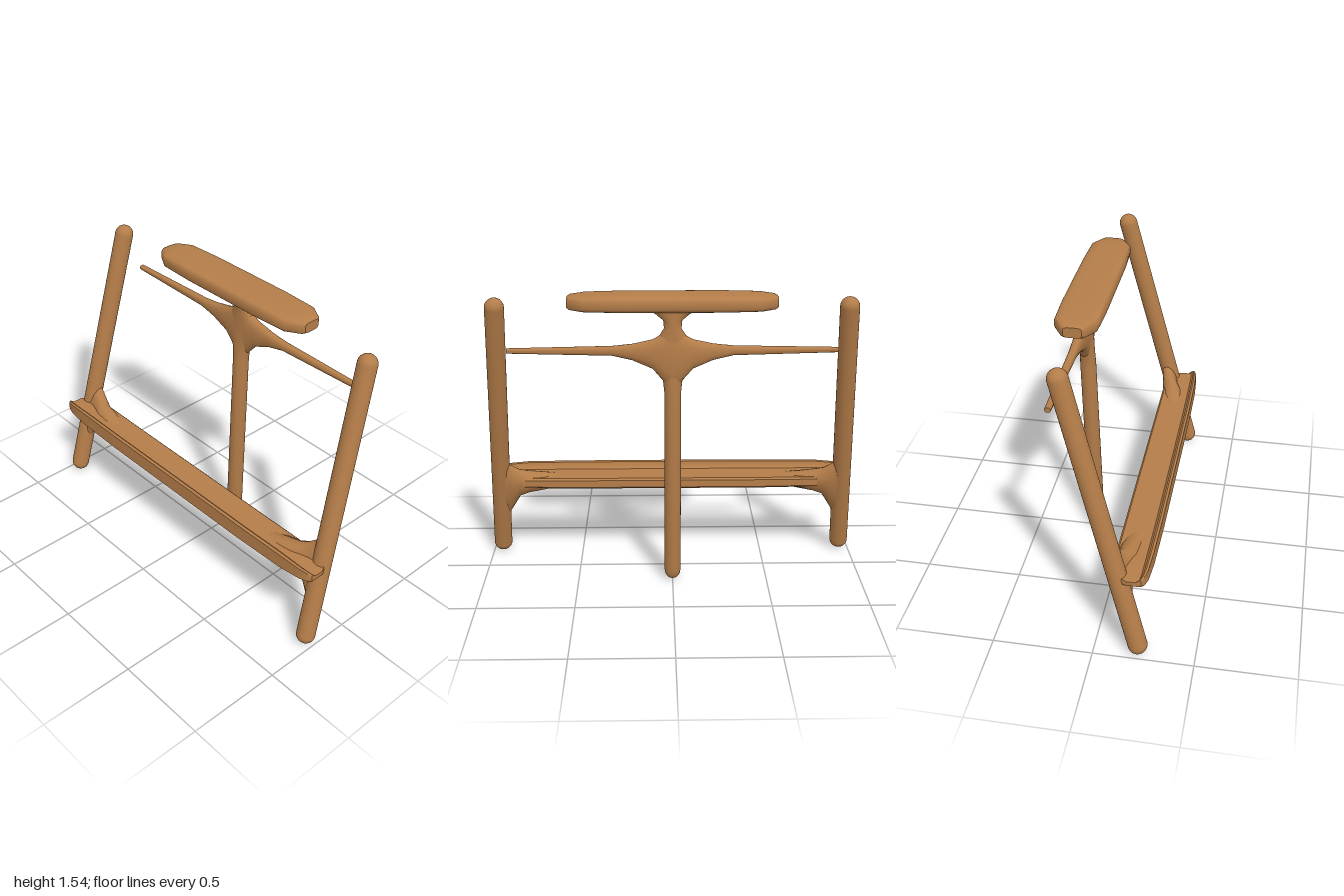
import * as THREE from 'three';
import { toCreasedNormals } from 'three/addons/utils/BufferGeometryUtils.js';

const wood = new THREE.MeshStandardMaterial({ color: 0xb47d49 });
wood.name = 'warm wood';

// Skin a list of rings (equal point counts) and close both ends
function loft(rings, crease = 0.8) {
  const n = rings[0].length, pos = [], idx = [];
  rings.forEach(r => r.forEach(p => pos.push(...p)));
  for (let i = 0; i < rings.length - 1; i++) {
    for (let j = 0; j < n; j++) {
      const k = (j + 1) % n, a = i * n + j, b = i * n + k;
      idx.push(a, b, a + n, b, b + n, a + n);
    }
  }
  const last = (rings.length - 1) * n;
  [0, last].forEach((start, end) => {
    const c = pos.length / 3, ring = rings[end ? rings.length - 1 : 0];
    pos.push(...[0, 1, 2].map(d => ring.reduce((s, p) => s + p[d], 0) / n));
    for (let j = 0; j < n; j++) {
      const a = start + j, b = start + (j + 1) % n;
      end ? idx.push(c, a, b) : idx.push(c, b, a);
    }
  });
  const g = new THREE.BufferGeometry();
  g.setAttribute('position', new THREE.Float32BufferAttribute(pos, 3));
  g.setIndex(idx);
  return toCreasedNormals(g, crease);
}

// Unit oval; power below 1 makes it boxier
function oval(n, power = 1) {
  const f = v => Math.sign(v) * Math.abs(v) ** power;
  return Array.from({ length: n }, (_, i) => {
    const a = (i / n) * Math.PI * 2;
    return [f(Math.cos(a)), f(Math.sin(a))];
  });
}

// Mirror half-sections (centre outwards, x first) to both sides
const mirrored = half => [
  ...half.filter(s => s[0] > 0).reverse().map(([x, ...r]) => [-x, ...r]), ...half];

export function createModel() {
  const group = new THREE.Group();
  const add = (name, geometry) => {
    const m = new THREE.Mesh(geometry, wood);
    m.name = name;
    group.add(m);
    return m;
  };

  for (const s of [1, -1]) {
    const side = s > 0 ? 'left' : 'right';

    // Leaning front leg
    const a = new THREE.Vector3(s * 0.95, 0.052, 0.216);
    const b = new THREE.Vector3(s * 0.88, 1.473, -0.15);
    const dir = b.clone().sub(a);
    const leg = add(side + 'FrontLeg', new THREE.CapsuleGeometry(0.049, dir.length(), 8, 24));
    leg.position.copy(a).add(b).multiplyScalar(0.5);
    leg.quaternion.setFromUnitVectors(new THREE.Vector3(0, 1, 0), dir.normalize());

    // Flared joint between leg and tray: x, bottom, top, z, half depth, lean
    const joint = [
      [0.56, 0.418, 0.465, 0.17, 0.06, 0],
      [0.78, 0.378, 0.505, 0.14, 0.055, 0.1],
      [0.83, 0.36, 0.525, 0.125, 0.05, 0.2],
      [0.875, 0.285, 0.56, 0.118, 0.046, 0.257],
      [0.93, 0.2, 0.63, 0.117, 0.04, 0.257],
    ].map(([x, lo, hi, z, d, lean]) => oval(16).map(([u, v]) => {
      const y = (lo + hi) / 2 + u * (hi - lo) / 2;
      return [s * x, y, z + v * d - lean * (y - 0.43)];
    }));
    add(side + 'TrayJoint', loft(s > 0 ? joint : joint.reverse(), 1));
  }

  // Rear leg with a waist below the top board: y, half width, half depth, z
  const mast = [
    [0.01, 0.012, 0.012, -0.175], [0.018, 0.026, 0.026, -0.175],
    [0.035, 0.038, 0.037, -0.176], [0.06, 0.043, 0.042, -0.176],
    [1.05, 0.042, 0.041, -0.207], [1.13, 0.05, 0.038, -0.21],
    [1.2, 0.08, 0.036, -0.213], [1.27, 0.11, 0.034, -0.215],
    [1.33, 0.075, 0.034, -0.215], [1.38, 0.043, 0.034, -0.215],
    [1.42, 0.047, 0.036, -0.213], [1.45, 0.085, 0.042, -0.207],
    [1.48, 0.14, 0.05, -0.2],
  ].map(([y, w, d, z]) => oval(24).map(([u, v]) => [v * w, y, z + u * d]));
  add('rearLeg', loft(mast, 1));

  // Tapering crossbar: x, bottom, top, half depth
  const bar = mirrored([
    [0, 1.07, 1.385, 0.036], [0.04, 1.105, 1.36, 0.036], [0.1, 1.175, 1.325, 0.032],
    [0.2, 1.22, 1.303, 0.026], [0.3, 1.244, 1.292, 0.021], [0.82, 1.257, 1.282, 0.015],
  ]).map(([x, lo, hi, d]) => oval(16, 0.8).map(([u, v]) =>
    [x, (lo + hi) / 2 + u * (hi - lo) / 2, -0.217 + v * d]));
  add('crossbar', loft(bar, 1));

  // Top board with clipped corners: x, half height, half depth
  const board = mirrored([
    [0, 0.043, 0.11], [0.25, 0.043, 0.11], [0.435, 0.039, 0.104],
    [0.505, 0.034, 0.062], [0.52, 0.026, 0.045],
  ]).map(([x, h, d]) => oval(32, 0.5).map(([u, v]) => [x, 1.503 + u * h, -0.165 + v * d]));
  add('topBoard', loft(board, 0.7));

  // Tray profile (z, y) with a raised front lip
  const profile = [
    [0.08, 0.465], [0.09, 0.475], [0.235, 0.475], [0.245, 0.485], [0.25, 0.512],
    [0.26, 0.518], [0.272, 0.51], [0.274, 0.43], [0.26, 0.416], [0.09, 0.416], [0.08, 0.426],
  ];
  // x, back limit, front limit, height scale, lift
  const tray = mirrored([
    [0, 0.08, 0.274, 1, 0], [0.5, 0.08, 0.274, 0.99, 0], [0.79, 0.08, 0.27, 0.93, 0.003],
    [0.92, 0.1, 0.262, 0.72, 0.008], [0.965, 0.13, 0.25, 0.58, 0.01],
    [0.98, 0.16, 0.235, 0.4, 0.012],
  ]).map(([x, back, front, h, lift]) => profile.map(([z, y]) =>
    [x, 0.445 + (y - 0.445) * h + lift, back + (z - 0.08) / 0.194 * (front - back)]));
  add('tray', loft(tray, 0.7));

  return group;
}
